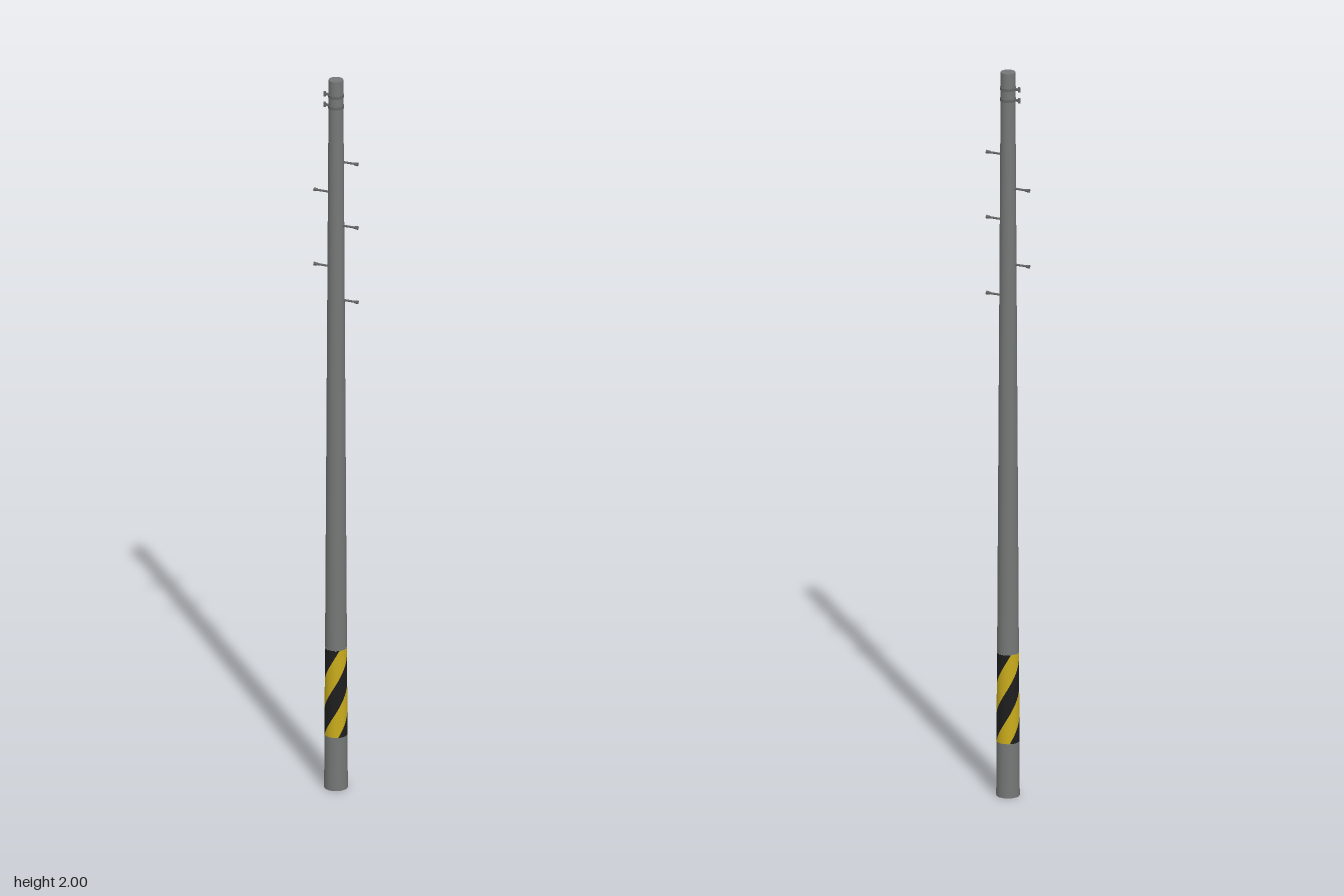
import * as THREE from 'three';

const SIDES = 20;
const BAND_LOW = 0.15, BAND_HIGH = 0.395;

// Radius of the tapered pole at height y
const poleRadius = (y) => 0.031 - 0.0059 * y;

const material = (name, color) => {
  const m = new THREE.MeshStandardMaterial({ color });
  m.name = name;
  return m;
};

function add(parent, name, geometry, mat, x = 0, y = 0, z = 0) {
  const mesh = new THREE.Mesh(geometry, mat);
  mesh.name = name;
  mesh.position.set(x, y, z);
  parent.add(mesh);
  return mesh;
}

// Helical strips around the pole, cut off at the edges of the painted band
function stripeGeometry(offset) {
  const steps = 80, pitch = 0.16, half = pitch / 4;
  const positions = [], normals = [];
  const clampY = (y) => Math.min(BAND_HIGH, Math.max(BAND_LOW, y));
  const put = (a, y) => {
    const r = poleRadius(y);
    positions.push(r * Math.sin(a), y, r * Math.cos(a));
    normals.push(Math.sin(a), 0, Math.cos(a));
  };
  for (let k = -4; k <= 4; k++) {
    for (let i = 0; i < steps; i++) {
      const a = (i / steps) * Math.PI * 2 - Math.PI;
      const b = ((i + 1) / steps) * Math.PI * 2 - Math.PI;
      const ya = offset + k * pitch + (a / Math.PI) * pitch;
      const yb = offset + k * pitch + (b / Math.PI) * pitch;
      const [a0, a1, b0, b1] = [ya - half, ya + half, yb - half, yb + half].map(clampY);
      if (a1 - a0 + b1 - b0 < 1e-6) continue;
      put(a, a0); put(b, b0); put(b, b1);
      put(a, a0); put(b, b1); put(a, a1);
    }
  }
  const g = new THREE.BufferGeometry();
  g.setAttribute('position', new THREE.Float32BufferAttribute(positions, 3));
  g.setAttribute('normal', new THREE.Float32BufferAttribute(normals, 3));
  return g;
}

export function createModel() {
  const model = new THREE.Group();
  model.name = 'utilityPole';
  const concrete = material('concreteGrey', 0x747876);
  const steel = material('steelGrey', 0x646766);
  const yellow = material('warningYellow', 0xcaac1c);
  const black = material('warningBlack', 0x1e1e1e);

  // Tapered shaft below and above the painted band
  const section = (name, low, high) => {
    const g = new THREE.CylinderGeometry(poleRadius(high), poleRadius(low), high - low, SIDES);
    add(model, name, g, concrete, 0, (low + high) / 2);
  };
  section('poleBase', 0, BAND_LOW);
  section('poleShaft', BAND_HIGH, 2);

  // Diagonal warning stripes
  add(model, 'blackStripes', stripeGeometry(0.24), black);
  add(model, 'yellowStripes', stripeGeometry(0.32), yellow);

  // Step bolts on alternating sides, each with a wider head
  const rod = new THREE.CylinderGeometry(0.003, 0.003, 0.042, 8).rotateZ(Math.PI / 2);
  const head = new THREE.CylinderGeometry(0.0055, 0.004, 0.01, 8).rotateZ(-Math.PI / 2);
  const steps = [[1, 1.77], [-1, 1.68], [1, 1.59], [-1, 1.47], [1, 1.38]];
  for (const [side, y] of steps) {
    const bolt = new THREE.Group();
    bolt.name = 'stepBolt';
    add(bolt, 'boltRod', rod, steel, 0.033);
    add(bolt, 'boltHead', head, steel, 0.057);
    bolt.position.y = y;
    bolt.rotation.y = side > 0 ? 0 : Math.PI;
    model.add(bolt);
  }

  // Clamp bands near the top, with bolted lugs on one side
  for (const y of [1.955, 1.925]) {
    const clamp = new THREE.Group();
    clamp.name = 'clamp';
    const r = poleRadius(y) + 0.0015;
    add(clamp, 'clampBand', new THREE.CylinderGeometry(r, r, 0.008, SIDES), steel);
    add(clamp, 'clampLug', new THREE.BoxGeometry(0.014, 0.005, 0.007), steel, -0.027);
    add(clamp, 'clampBolt', new THREE.CylinderGeometry(0.0035, 0.0035, 0.013, 8), steel, -0.032);
    clamp.position.y = y;
    model.add(clamp);
  }
  return model;
}
